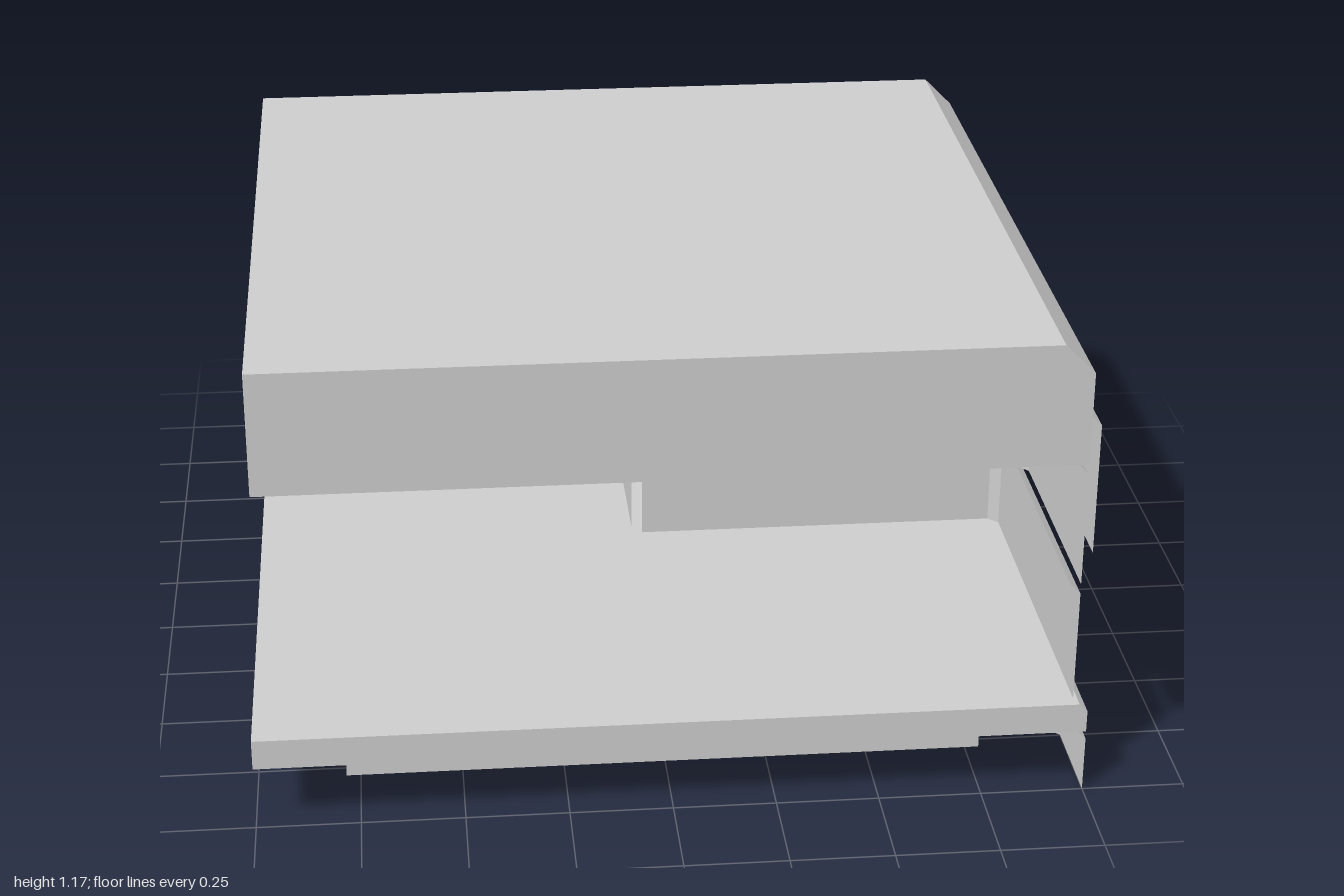
import * as THREE from 'three';

const grey = new THREE.MeshStandardMaterial({ color: 0xcccccc, side: THREE.DoubleSide, flatShading: true });
grey.name = 'plain grey';

// Flat-shaded mesh from a list of convex polygons (arrays of [x, y, z])
function polyMesh(name, polys) {
  const pos = [];
  for (const p of polys) {
    for (let i = 1; i < p.length - 1; i++) pos.push(...p[0], ...p[i], ...p[i + 1]);
  }
  const g = new THREE.BufferGeometry();
  g.setAttribute('position', new THREE.Float32BufferAttribute(pos, 3));
  g.computeVertexNormals();
  const m = new THREE.Mesh(g, grey);
  m.name = name;
  return m;
}

// Slab, open below, bevelled only along its +x, -z and matching top edges
function bevelSlab(name, r, y0, y1, c) {
  const k = r - c;
  const plan = [[-r, r], [r, r], [r, -k], [k, -r], [-r, -r]];
  const rings = [
    plan.map(([x, z]) => [x, y0, z]),
    plan.map(([x, z]) => [x, y1 - c, z]),
    [[-r, r], [k, r], [k, -k], [k, -k], [-r, -k]].map(([x, z]) => [x, y1, z]),
  ];
  const polys = [rings[2]];
  for (let j = 0; j < 2; j++) {
    for (let i = 0; i < 5; i++) {
      const n = (i + 1) % 5;
      polys.push([rings[j][i], rings[j][n], rings[j + 1][n], rings[j + 1][i]]);
    }
  }
  return polyMesh(name, polys);
}

// Open panel running along u on the outer plane d, bevelled at its top and far end.
// inner: optional depth to which the far end returns inwards.
function panel(name, side, u0, u1, y0, y1, d, c, inner) {
  const e = u1 - c, t = y1 - c, b = d - c;
  const polys = [
    [[u0, y0, d], [e, y0, d], [e, t, d], [u0, t, d]],
    [[u0, t, d], [e, t, d], [e, y1, b], [u0, y1, b]],
    [[e, y0, d], [u1, y0, b], [u1, t, b], [e, t, d]],
    [[e, t, d], [u1, t, b], [e, y1, b]],
  ];
  if (inner !== undefined) {
    polys.push([[u1, y0, b], [u1, y0, inner], [u1, t, inner], [u1, t, b]]);
    polys.push([[u1, t, b], [u1, t, inner], [e, y1, inner], [e, y1, b]]);
  }
  return polyMesh(name, polys.map((p) => (side === 'right'
    ? p.map(([u, y, w]) => [w, y, -u])
    : p.map(([u, y, w]) => [u, y, -w]).reverse())));
}

export function createModel() {
  const model = new THREE.Group();
  model.name = 'loadedPallet';
  const deckBottom = 0.162, deckTop = 0.238, seam = 0.55, topSeam = 0.866, inset = 0.785;

  // Pallet deck and the load's top layer
  model.add(bevelSlab('palletDeck', 1, deckBottom, deckTop, 0.02));
  model.add(bevelSlab('topLayer', 0.97, topSeam, 1.172, 0.073));

  // Inset skirt under the deck
  const corners = [[-inset, inset], [inset, inset], [inset, -inset], [-inset, -inset]];
  model.add(polyMesh('palletSkirt', corners.map(([x, z], i) => {
    const [x2, z2] = corners[(i + 1) % 4];
    return [[x, 0, z], [x2, 0, z2], [x2, deckBottom, z2], [x, deckBottom, z]];
  })));

  // Rows of feet and boxes: all but the corner piece have an end face running inwards
  const rows = [
    { name: 'palletFoot', spans: [[-1, -0.728], [-0.14, 0.137], [0.72, 1]], y: [0, deckBottom], d: 1, c: 0.02, inner: inset },
    { name: 'lowerBox', spans: [[-0.97, -0.015], [0.01, 0.97]], y: [deckTop, seam], d: 0.97, c: 0.025, inner: 0.01 },
    { name: 'upperBox', spans: [[-0.97, -0.335], [-0.315, 0.313], [0.333, 0.97]], y: [seam, topSeam], d: 0.97, c: 0.025, inner: 0.333 },
  ];

  // Two finished sides: +x and -z
  for (const side of ['right', 'back']) {
    const wall = new THREE.Group();
    wall.name = side + 'Wall';
    for (const { name, spans, y, d, c, inner } of rows) {
      spans.forEach(([a, b], i) => {
        const isCorner = i === spans.length - 1;
        wall.add(panel(name, side, a, b, y[0], y[1], d, c, isCorner ? undefined : inner));
      });
    }

    // Band wrapped around the upper layers
    wall.add(panel('band', side, -0.988, 0.988, 0.643, 0.998, 0.988, 0.023));
    model.add(wall);
  }
  return model;
}
